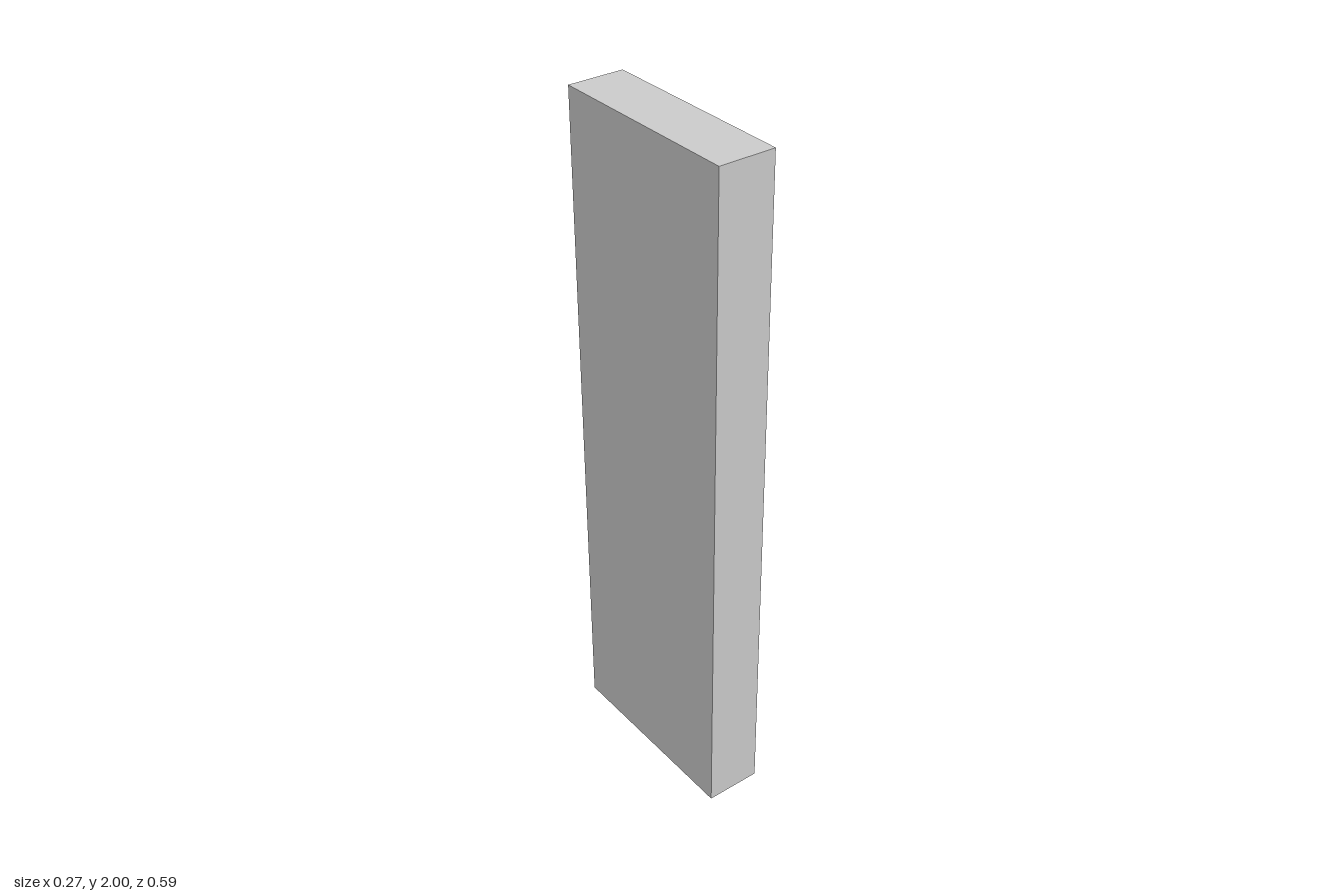
import * as THREE from 'three';

const BACK = -0.137, FACE = 0.027;          // plate faces along x
const WIDTH = 0.594, HEIGHT = 2, SLOT_DEPTH = 0.12;
const KNOB_Y = 1.828;

// Closed rectangle traced in the given path
function rect(path, halfWidth, bottom, top) {
  path.moveTo(-halfWidth, bottom);
  path.lineTo(halfWidth, bottom);
  path.lineTo(halfWidth, top);
  path.lineTo(-halfWidth, top);
  path.closePath();
  return path;
}

export function createModel() {
  const group = new THREE.Group();
  const material = new THREE.MeshStandardMaterial({ color: 0xcccccc });
  const add = (name, geometry) => {
    const mesh = new THREE.Mesh(geometry, material);
    mesh.name = name;
    group.add(mesh);
  };

  // Slotted front layer of the plate
  const outline = rect(new THREE.Shape(), WIDTH / 2, 0, HEIGHT);
  outline.holes.push(rect(new THREE.Path(), 0.051, 0.375, 1.63));
  add('slottedPlate', new THREE.ExtrudeGeometry(outline, { depth: SLOT_DEPTH, bevelEnabled: false })
    .rotateY(Math.PI / 2).translate(FACE - SLOT_DEPTH, 0, 0));

  // Solid back layer, which closes the slot
  const backDepth = FACE - SLOT_DEPTH - BACK;
  add('backPlate', new THREE.BoxGeometry(backDepth, HEIGHT, WIDTH)
    .translate(BACK + backDepth / 2, HEIGHT / 2, 0));

  // Round collar under the knob
  const collarDepth = 0.039;
  add('knobCollar', new THREE.CylinderGeometry(0.126, 0.126, collarDepth, 16)
    .rotateZ(-Math.PI / 2).translate(FACE + collarDepth / 2, KNOB_Y, 0));

  // Domed knob, turned about the x axis
  const profile = [[0.105, 0.06], [0.103, 0.066], [0.09, 0.103], [0.071, 0.118], [0.028, 0.136], [0, 0.137]]
    .map(([r, x]) => new THREE.Vector2(r, x));
  add('knobDome', new THREE.LatheGeometry(profile, 16)
    .rotateZ(-Math.PI / 2).translate(0, KNOB_Y, 0));

  return group;
}
